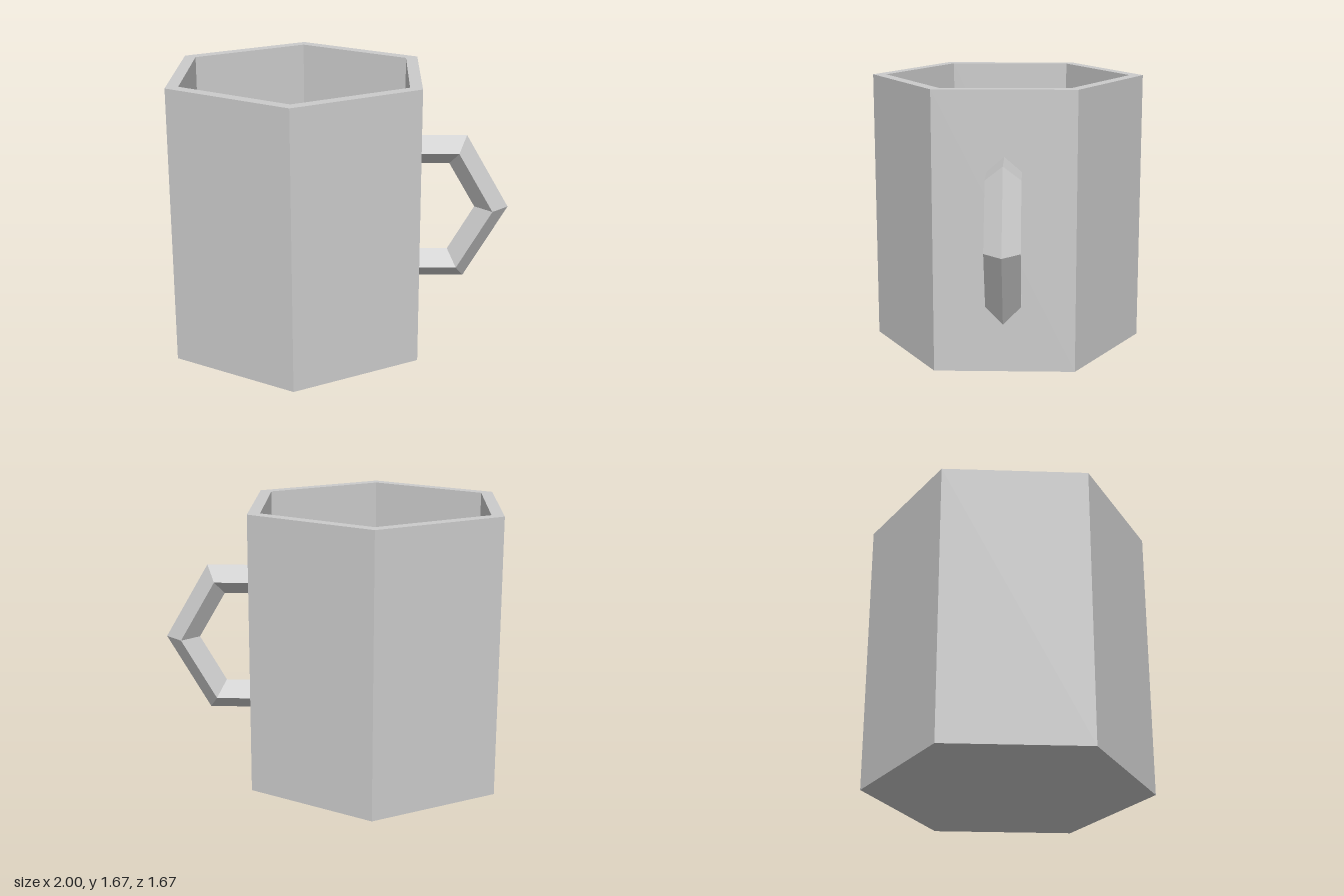
import * as THREE from 'three';

export function createModel() {
  const group = new THREE.Group();
  const material = new THREE.MeshStandardMaterial({ color: 0xcccccc, flatShading: true });

  const height = 1.675, outer = 0.835, inner = 0.753, floor = 0.08;
  const cupX = -0.277;

  // Hexagonal cup: outside wall, rim, inside wall and floor in one profile
  const profile = [
    [0, 0], [outer, 0], [outer, height], [inner, height], [inner, floor], [0, floor],
  ].map(([x, y]) => new THREE.Vector2(x, y));
  const cup = new THREE.Mesh(new THREE.LatheGeometry(profile, 6), material);
  cup.name = 'cup';
  cup.position.x = cupX;
  group.add(cup);

  // Handle: four sides of a hexagonal ring with a diamond section
  const ring = new THREE.TorusGeometry(0.421, 0.102, 4, 4, Math.PI * 4 / 3);
  ring.rotateZ(-Math.PI * 2 / 3);
  ring.translate(0.475, height / 2, 0);
  // Cut the ends off square, just inside the cup wall
  const pos = ring.attributes.position;
  for (let i = 0; i < pos.count; i++) pos.setX(i, Math.max(pos.getX(i), 0.43));
  const handle = new THREE.Mesh(ring, material);
  handle.name = 'handle';
  group.add(handle);

  return group;
}
